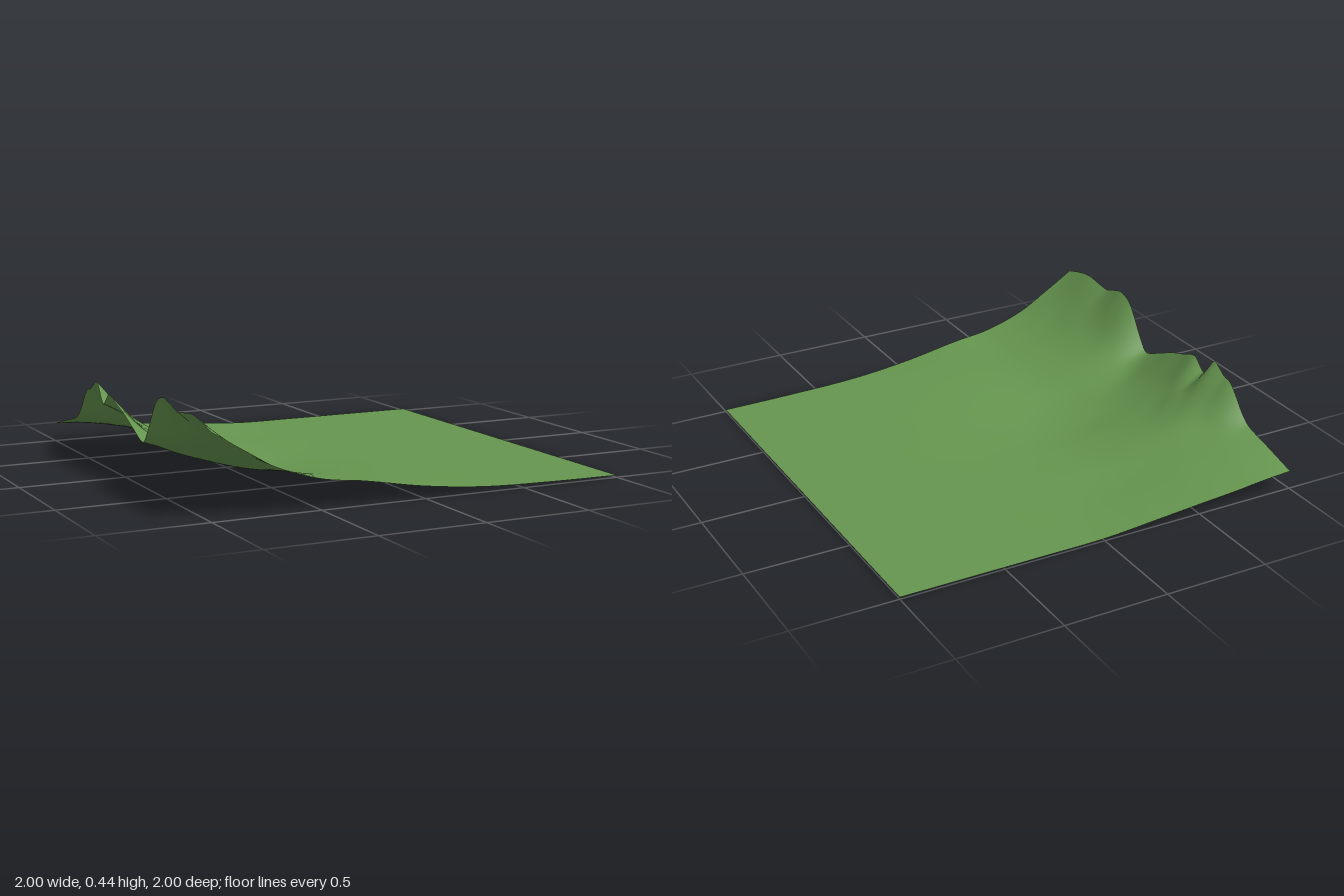
import * as THREE from 'three';

// Heights along the steep ridge at x = -1, as [z, height]
const ridge = [
  [-1, .09], [-.9, .115], [-.8, .14], [-.7, .163], [-.65, .182], [-.6, .225], [-.55, .285], [-.5, .333],
  [-.45, .345], [-.4, .375], [-.36, .39], [-.31, .325], [-.28, .295], [-.25, .315], [-.2, .353], [-.1, .322],
  [0, .29], [.1, .247], [.22, .2], [.25, .213], [.3, .275], [.35, .35], [.4, .41], [.48, .44],
  [.55, .425], [.62, .403], [.7, .408], [.8, .417], [.9, .402], [1, .375],
];

// Gentler cross-sections running down to the plain, sampled at even z from -1 to 1
const sections = [
  [-.85, [.08, .11, .15, .225, .2, .17, .142, .24, .28, .285, .285]],
  [-.7, [.065, .08, .1, .13, .115, .09, .09, .145, .18, .195, .2]],
  [-.5, [.05, .05, .05, .06, .05, .028, .033, .068, .1, .12, .135]],
  [-.3, [.034, .03, .02, .022, .014, .002, .008, .035, .062, .085, .107]],
  [0, [.012, .01, .01, .01, .007, .006, .01, .02, .032, .045, .056]],
  [.3, [.01, .01, .01, .01, .01, .01, .012, .014, .017, .02, .025]],
  [.65, [.01, .01, .01, .01, .01, .01, .01, .011, .012, .013, .014]],
  [1, [.01, .01, .01, .01, .01, .01, .01, .01, .01, .01, .01]],
];

// Smooth curve through [position, value] points
function curveAt(points, t) {
  const last = points.length - 1;
  let i = 0;
  while (i < last - 1 && t > points[i + 1][0]) i++;
  const slope = (k) => {
    const a = points[Math.max(k - 1, 0)], b = points[Math.min(k + 1, last)];
    return (b[1] - a[1]) / (b[0] - a[0]);
  };
  const [t0, v0] = points[i], [t1, v1] = points[i + 1];
  const w = t1 - t0, u = (t - t0) / w, u2 = u * u, u3 = u2 * u;
  return v0 * (2 * u3 - 3 * u2 + 1) + v1 * (3 * u2 - 2 * u3)
    + w * (slope(i) * (u3 - 2 * u2 + u) + slope(i + 1) * (u3 - u2));
}

export function createModel() {
  const model = new THREE.Group();
  const grass = new THREE.MeshStandardMaterial({ color: 0x66964f, side: THREE.DoubleSide });
  grass.name = 'grass green';

  const profiles = [[-1, ridge], ...sections.map(([x, hs]) => [x, hs.map((h, i) => [-1 + i * 0.2, h])])];

  // Open sheet of ground lifted by the cross-sections
  const n = 120;
  const geometry = new THREE.PlaneGeometry(2, 2, n, n).rotateX(-Math.PI / 2);
  const pos = geometry.attributes.position;
  for (let row = 0; row <= n; row++) {
    const z = pos.getZ(row * (n + 1));
    const slopeLine = profiles.map(([x, profile]) => [x, curveAt(profile, z)]);
    for (let col = 0; col <= n; col++) {
      const i = row * (n + 1) + col;
      pos.setY(i, Math.max(0, curveAt(slopeLine, pos.getX(i))));
    }
  }
  geometry.computeVertexNormals();

  const terrain = new THREE.Mesh(geometry, grass);
  terrain.name = 'hillside terrain';
  model.add(terrain);
  return model;
}
